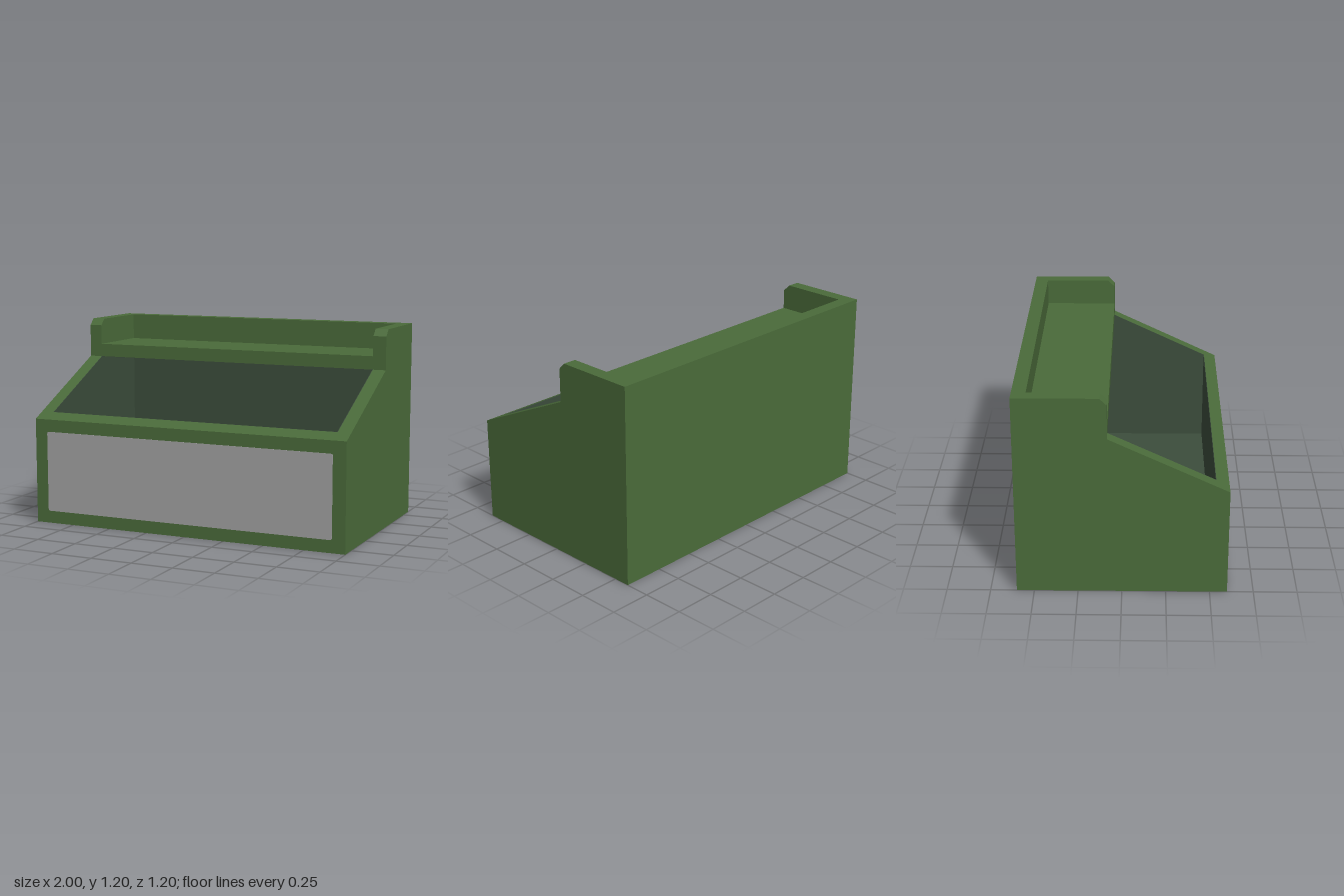
import * as THREE from 'three';

const green = new THREE.MeshStandardMaterial({ color: 0x4a6b3a });
green.name = 'green casing';
const dark = new THREE.MeshStandardMaterial({ color: 0x3c4d3c });
dark.name = 'dark lining';
const grey = new THREE.MeshStandardMaterial({ color: 0xa2a2a2 });
grey.name = 'grey panel';

const WALL = 0.08, INNER = 0.92;
const slopeY = z => 0.64 + (0.6 - z) * 0.32 / 0.68;

// Side profile given as [z, y] points, extruded along x from x0 to x1
function profile(name, points, x0, x1, material) {
  const shape = new THREE.Shape(points.map(([z, y]) => new THREE.Vector2(-z, y)));
  const geometry = new THREE.ExtrudeGeometry(shape, { depth: x1 - x0, bevelEnabled: false });
  geometry.rotateY(Math.PI / 2).translate(x0, 0, 0);
  const mesh = new THREE.Mesh(geometry, material);
  mesh.name = name;
  return mesh;
}

const rect = (z0, z1, y0, y1) => [[z1, y0], [z1, y1], [z0, y1], [z0, y0]];

export function createModel() {
  const model = new THREE.Group();
  model.name = 'counter';

  // Casing: stepped side walls with a sloping front edge
  const side = [[0.6, 0], [0.6, 0.64], [-0.08, 0.96], [-0.08, 1.16], [-0.12, 1.2], [-0.6, 1.2], [-0.6, 0]];
  model.add(profile('leftWall', side, INNER, 1, green));
  model.add(profile('rightWall', side, -1, -INNER, green));

  // Walls, floor and upper shelf spanning between the sides
  const front = [[0.6, 0], [0.6, 0.64], [0.525, slopeY(0.525)], [0.525, 0]];
  model.add(profile('frontWall', front, -INNER, INNER, green));
  model.add(profile('backWall', rect(-0.6, -0.52, 0, 1.2), -INNER, INNER, green));
  model.add(profile('floor', rect(-0.52, 0.525, 0, WALL), -INNER, INNER, green));
  model.add(profile('shelf', rect(-0.52, -0.08, 0.96, 1.04), -INNER, INNER, green));

  // Dark lining inside the bin
  const lining = new THREE.Group();
  lining.name = 'lining';
  const T = 0.003;
  const bin = [[0.525, WALL], [0.525, slopeY(0.525)], [-0.08, 0.96], [-0.52, 0.96], [-0.52, WALL]];
  lining.add(profile('leftLining', bin, INNER - T, INNER, dark));
  lining.add(profile('rightLining', bin, -INNER, -INNER + T, dark));
  lining.add(profile('frontLining', rect(0.525 - T, 0.525, WALL, slopeY(0.525)), -INNER, INNER, dark));
  lining.add(profile('backLining', rect(-0.52, -0.52 + T, WALL, 0.96), -INNER, INNER, dark));
  lining.add(profile('floorLining', rect(-0.52, 0.525, WALL, WALL + T), -INNER, INNER, dark));
  lining.add(profile('topLining', rect(-0.52, -0.081, 0.96 - T, 0.96), -INNER, INNER, dark));
  model.add(lining);

  // Front panel with slightly rounded corners
  const x = 0.92, y0 = 0.075, y1 = 0.565, r = 0.012;
  const plate = new THREE.Shape();
  plate.moveTo(-x + r, y0);
  plate.lineTo(x - r, y0).quadraticCurveTo(x, y0, x, y0 + r);
  plate.lineTo(x, y1 - r).quadraticCurveTo(x, y1, x - r, y1);
  plate.lineTo(-x + r, y1).quadraticCurveTo(-x, y1, -x, y1 - r);
  plate.lineTo(-x, y0 + r).quadraticCurveTo(-x, y0, -x + r, y0);
  const panel = new THREE.Mesh(
    new THREE.ExtrudeGeometry(plate, { depth: 0.002, bevelEnabled: false, curveSegments: 4 }), grey);
  panel.name = 'frontPanel';
  panel.position.z = 0.6;
  model.add(panel);

  return model;
}
